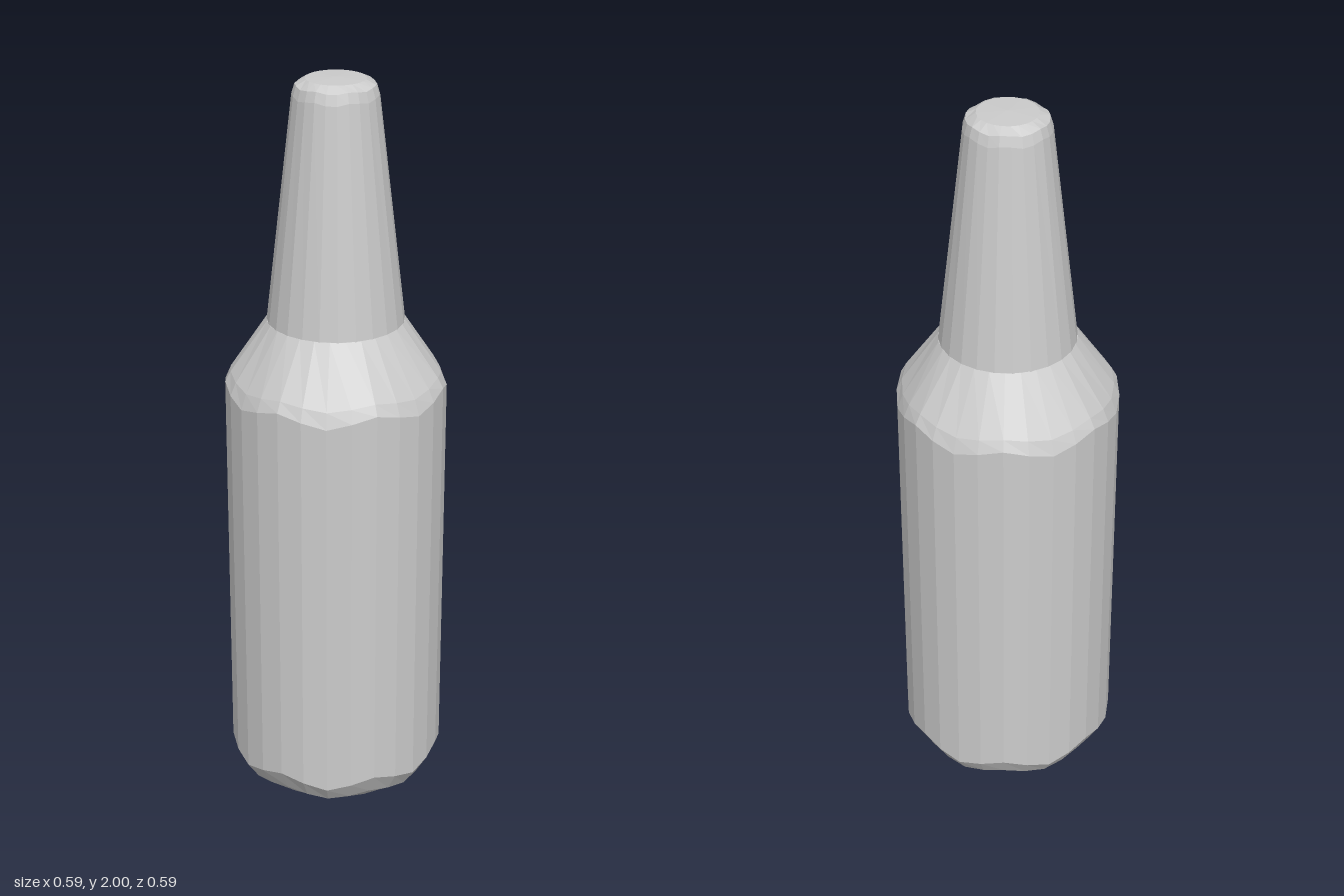
import * as THREE from 'three';

const material = new THREE.MeshStandardMaterial({ color: 0xcccccc, flatShading: true });

// Turned faceted part; each profile entry is [radius, height, rim waviness].
function turned(name, profile, segments) {
  const points = profile.map(([r, y]) => new THREE.Vector2(r, y));
  const geometry = new THREE.LatheGeometry(points, segments);
  const pos = geometry.attributes.position;
  for (let i = 0; i < pos.count; i++) {
    const wave = profile[i % profile.length][2] || 0;
    const angle = Math.floor(i / profile.length) / segments * Math.PI * 2;
    pos.setY(i, pos.getY(i) + wave * Math.sin(7 * angle));
  }
  geometry.computeVertexNormals();
  const mesh = new THREE.Mesh(geometry, material);
  mesh.name = name;
  return mesh;
}

export function createModel() {
  const bottle = new THREE.Group();
  bottle.name = 'bottle';

  // Body with a bevelled foot and sloping shoulder
  bottle.add(turned('body', [
    [0, 0], [0.22, 0.005], [0.262, 0.035, 0.008], [0.295, 0.09, 0.015],
    [0.295, 1.175, 0.015], [0.28, 1.21, 0.008], [0.182, 1.355], [0, 1.36],
  ], 28));

  // Tapering neck with a rounded, closed mouth
  bottle.add(turned('neck', [
    [0, 1.35], [0.182, 1.352], [0.112, 1.955, 0.004], [0.104, 1.982, 0.003],
    [0.078, 1.997], [0, 2],
  ], 24));

  return bottle;
}
